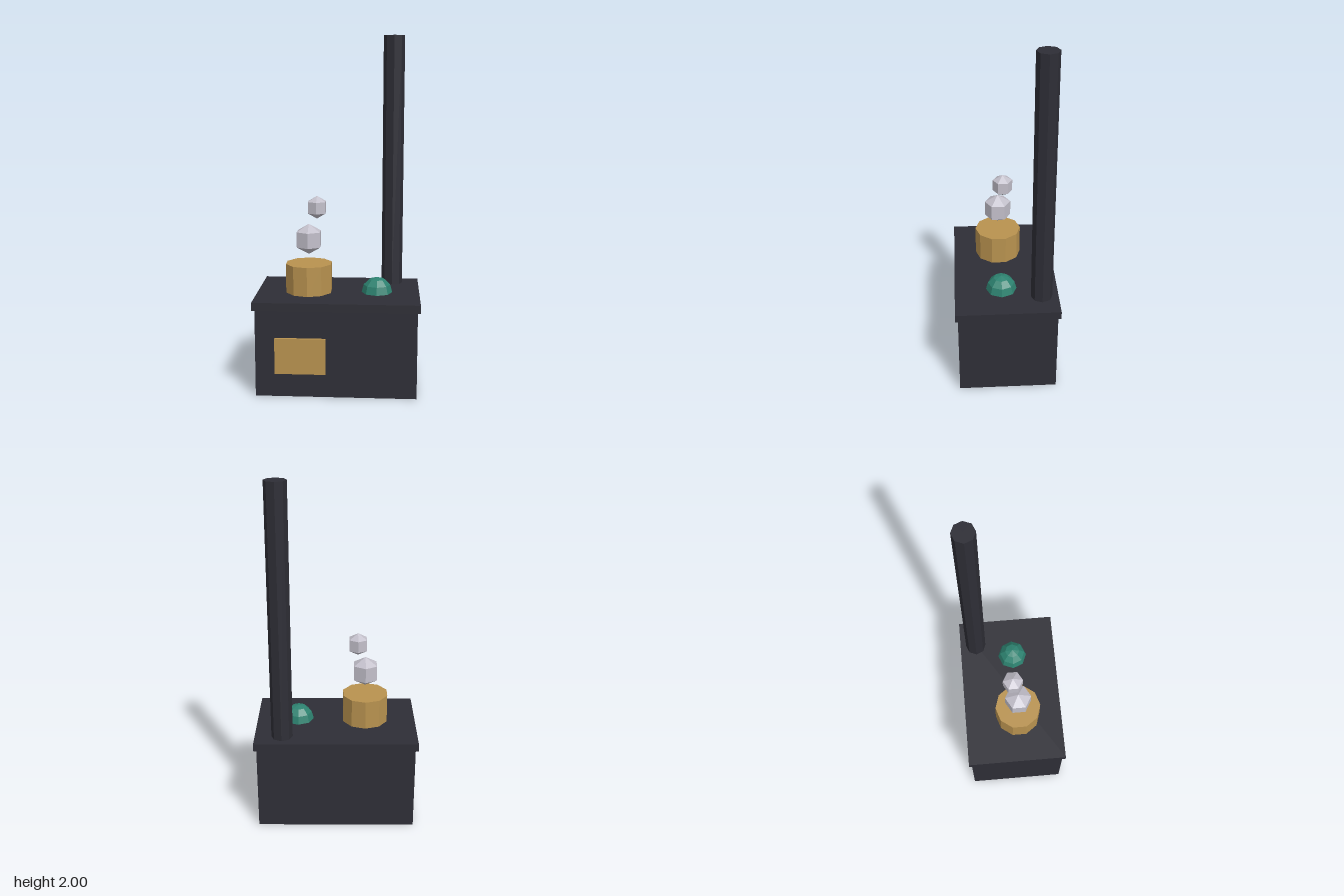
import * as THREE from 'three';

function paint(name, color) {
  const m = new THREE.MeshStandardMaterial({ color, flatShading: true });
  m.name = name;
  return m;
}

export function createModel() {
  const iron = paint('dark iron', 0x2e2e36);
  const brass = paint('brass', 0xb8924f);
  const green = paint('green', 0x2d8270);
  const steam = paint('pale steam', 0xc2bfca);
  const group = new THREE.Group();
  group.name = 'stove';

  const add = (name, geometry, material, x, y, z) => {
    const mesh = new THREE.Mesh(geometry, material);
    mesh.name = name;
    mesh.position.set(x, y, z);
    group.add(mesh);
    return mesh;
  };

  // Firebox with an overhanging hotplate and a door on the front
  add('body', new THREE.BoxGeometry(0.9, 0.5, 0.56), iron, 0, 0.25, 0);
  add('hotplate', new THREE.BoxGeometry(0.93, 0.045, 0.59), iron, 0, 0.52, 0);
  add('door', new THREE.BoxGeometry(0.284, 0.204, 0.03), brass, -0.198, 0.238, 0.281);

  // Chimney at the back corner
  add('chimney', new THREE.CylinderGeometry(0.061, 0.061, 1.46, 8), iron, 0.308, 1.27, -0.198);

  // Cooking pot and round lid
  add('pot', new THREE.CylinderGeometry(0.135, 0.135, 0.17, 10), brass, -0.17, 0.625, 0.027);
  add('dome', new THREE.SphereGeometry(0.088, 8, 6), green, 0.222, 0.543, 0.027);

  // Steam puffs rising from the pot
  const puffs = [[0.088, -0.17, 0.85, 0.027], [0.066, -0.125, 1.03, 0]];
  for (const [r, x, y, z] of puffs) {
    add('steamPuff', new THREE.SphereGeometry(r, 6, 3), steam, x, y, z).rotation.y = Math.PI / 2;
  }
  return group;
}
